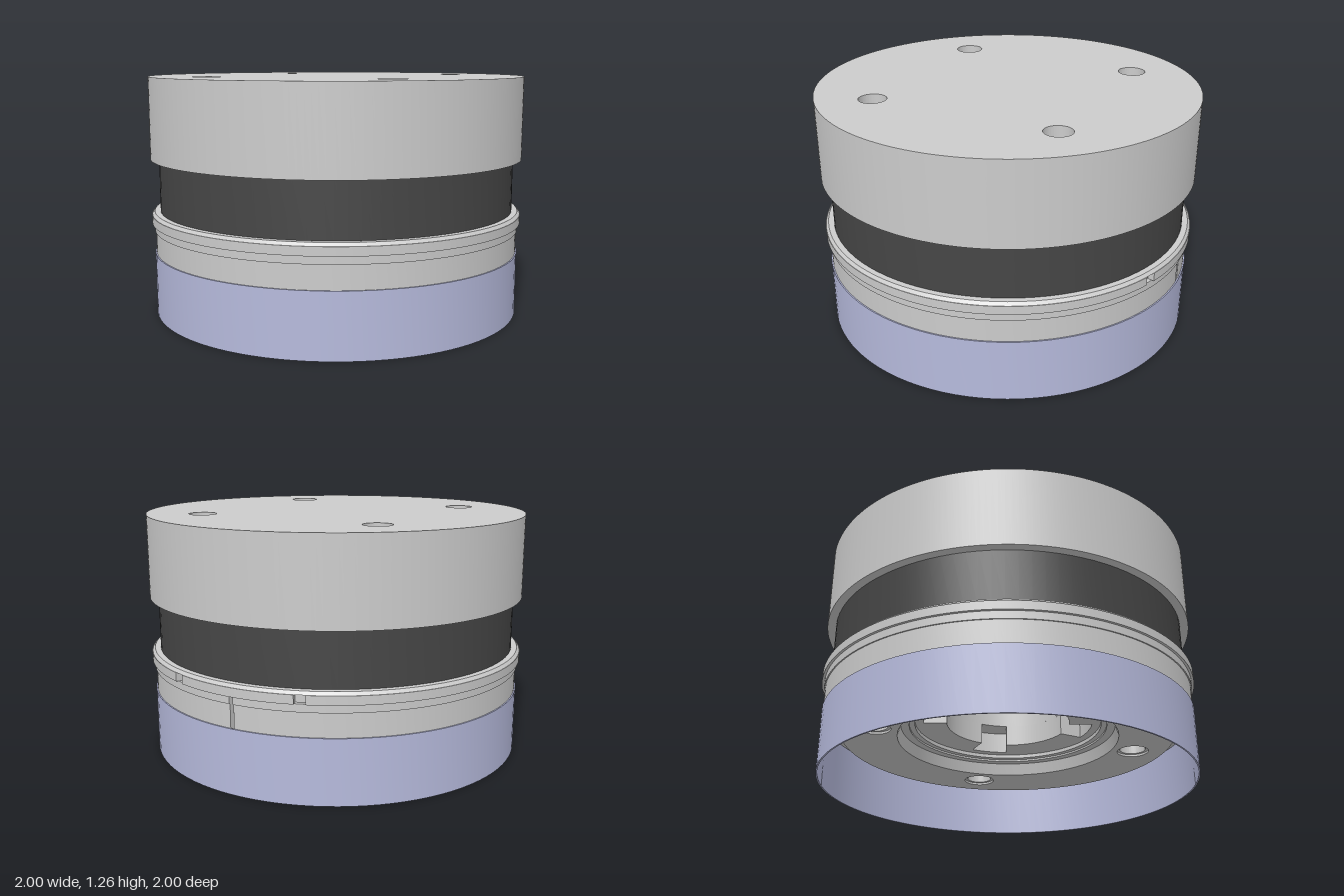
import * as THREE from 'three';
import { toCreasedNormals } from 'three/addons/utils/BufferGeometryUtils.js';

const grey = new THREE.MeshStandardMaterial({ color: 0xcccccc });
const dark = new THREE.MeshStandardMaterial({ color: 0x464646 });
const lavender = new THREE.MeshStandardMaterial({ color: 0xb6badc });
const TAU = Math.PI * 2;
const BACK = Math.PI / 2; // shape angle that ends up facing -z

export function createModel() {
  const model = new THREE.Group();

  const add = (name, geometry, material) => {
    const mesh = new THREE.Mesh(toCreasedNormals(geometry, 0.45), material);
    mesh.name = name;
    model.add(mesh);
  };

  // Turned part from [radius, height] points, counter-clockwise
  const turn = (name, points, material) =>
    add(name, new THREE.LatheGeometry(points.map(([r, y]) => new THREE.Vector2(r, y)), 96), material);

  // Outline of arcs [radius, start, end], joined by straight steps
  const outline = (arcs, Type = THREE.Shape) => {
    const path = new Type();
    for (const [r, a, b] of arcs) path.absarc(0, 0, r, a, b, false);
    return path;
  };
  const circle = (r, x = 0, y = 0) => new THREE.Path().absarc(x, y, r, 0, TAU, false);

  // Flat plate between heights y0 and y1
  const plate = (shape, holes, y0, y1, curveSegments = 48) => {
    shape.holes.push(...holes);
    return new THREE.ExtrudeGeometry(shape, { depth: y1 - y0, bevelEnabled: false, curveSegments })
      .rotateX(-Math.PI / 2).translate(0, y0, 0);
  };

  const diagonals = [0, 1, 2, 3].map((k) => Math.PI / 4 + k * Math.PI / 2);
  const boltHole = (r, a) => circle(r, 0.714 * Math.cos(a), 0.714 * Math.sin(a));

  // Upper cap with four bolt holes
  add('topCap', plate(outline([[1, 0, TAU]]), diagonals.map((a) => boltHole(0.072, a)), 0.83, 1.26, 96), grey);

  // Dark core with a blind bore from below
  turn('core', [[0, 0.8], [0.33, 0.8], [0.33, 0.55], [0.955, 0.55], [0.955, 0.829], [0, 0.829]], dark);

  // Flange with two notches at the back and a chamfered top edge
  const n = 20 * Math.PI / 180;
  const w = 0.028;
  const flange = plate(outline([
    [1, BACK + n + w, BACK - n - w + TAU],
    [0.965, BACK - n - w + TAU, BACK - n + w + TAU],
    [1, BACK - n + w + TAU, BACK + n - w + TAU],
    [0.965, BACK + n - w + TAU, BACK + n + w + TAU],
  ]), [circle(0.9)], 0.49, 0.535, 96);
  add('flange', flange, grey);
  turn('flangeChamfer', [[0.9, 0.535], [0.998, 0.535], [0.985, 0.551], [0.9, 0.551]], grey);

  // Collar under the flange, split by a narrow slit at the back
  const s = 0.01;
  const slitCollar = (r) => outline([[r, BACK + s, BACK - s + TAU], [0.955, BACK - s + TAU, BACK + s + TAU]]);
  add('collar', plate(slitCollar(0.981), [circle(0.88)], 0.32, 0.45, 96), grey);
  add('collarLip', plate(slitCollar(0.987), [circle(0.88)], 0.45, 0.49, 96), grey);

  // Open lavender skirt
  turn('skirt', [[0.98, 0], [0.988, 0], [0.988, 0.33], [0.98, 0.33], [0.98, 0]], lavender);

  // Base plate with countersunk bolt holes: four diagonal, one at the front
  const bolts = [...diagonals, -BACK];
  const basePlate = (r, y0, y1) =>
    plate(outline([[0.89, 0, TAU]]), [circle(0.59), ...bolts.map((a) => boltHole(r, a))], y0, y1);
  add('basePlate', basePlate(0.07, 0.262, 0.5), grey);
  const sink = basePlate(0.086, 0.25, 0.262);
  add('basePlateFace', sink, grey);

  // Stepped recess around the hub
  turn('recess', [[0.5, 0.345], [0.5, 0.325], [0.53, 0.325], [0.53, 0.315], [0.575, 0.315], [0.59, 0.25]], grey);

  // Hub plate whose bore opens into four locking slots
  const h = 0.22;
  const slots = diagonals.flatMap((a) => [
    [0.455, a - h, a + h],
    [0.33, a + h, a + Math.PI / 2 - h],
  ]);
  slots.push([0.455, diagonals[0] - h + TAU, diagonals[0] - h + TAU + 0.001]);
  add('hubPlate', plate(outline([[0.505, 0, TAU]]), [outline(slots, THREE.Path)], 0.345, 0.46), grey);
  add('hubSleeve', plate(outline([[0.6, 0, TAU]]), [circle(0.33)], 0.46, 0.55), grey);

  return model;
}
